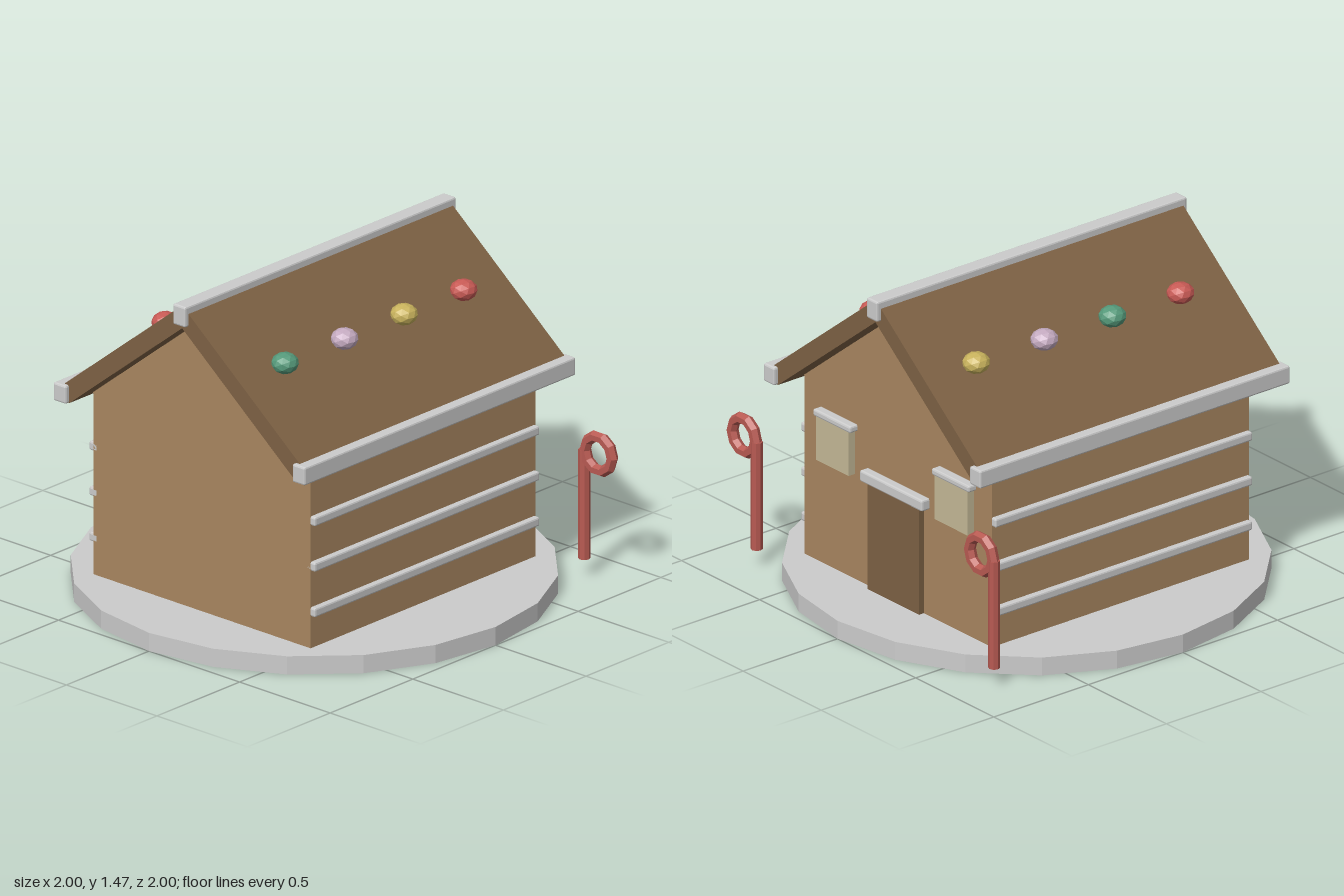
import * as THREE from 'three';
import { RoundedBoxGeometry } from 'three/addons/geometries/RoundedBoxGeometry.js';

const mat = (color) => new THREE.MeshStandardMaterial({ color, flatShading: true });

export function createModel() {
  const model = new THREE.Group();
  const icing = mat(0xcccccc), wall = mat(0xa88660), roof = mat(0x7d6144);
  const doorMat = mat(0x7d6144), pane = mat(0xc4b896), caneMat = mat(0xb85a52);
  const sweets = {
    red: mat(0xc85a55), green: mat(0x55997a), pink: mat(0xc4aac0), yellow: mat(0xc8b25c),
  };

  function add(name, geometry, material, x = 0, y = 0, z = 0, parent = model) {
    const mesh = new THREE.Mesh(geometry, material);
    mesh.name = name;
    mesh.position.set(x, y, z);
    parent.add(mesh);
    return mesh;
  }
  const box = (w, h, d) => new THREE.BoxGeometry(w, h, d);
  const softBox = (w, h, d) => new RoundedBoxGeometry(w, h, d, 1, 0.008);

  // Prism along z from a cross-section in x and y
  function prism(points, depth) {
    const shape = new THREE.Shape(points.map(([x, y]) => new THREE.Vector2(x, y)));
    return new THREE.ExtrudeGeometry(shape, { depth, bevelEnabled: false }).translate(0, 0, -depth / 2);
  }

  // Base plate and house body
  add('base', new THREE.CylinderGeometry(1, 1, 0.08, 20), icing, 0, 0.04, 0);
  add('walls', box(1.2, 0.8, 1.36), wall, 0, 0.48, 0);
  add('gable', prism([[-0.6, 0.88], [0.6, 0.88], [0, 1.36]], 1.37), wall);

  // Roof slabs, eave icing and side strips, mirrored
  for (const [s, side] of [[1, 'left'], [-1, 'right']]) {
    const section = [[0, 1.36], [0.625, 0.86], [0.675, 0.92], [0, 1.46]];
    add(side + 'Roof', prism(section.map(([x, y]) => [s * x, y]), 1.6), roof);
    add(side + 'EaveIcing', softBox(0.07, 0.08, 1.64), icing, s * 0.66, 0.9, 0);
    for (const y of [0.24, 0.44, 0.64]) {
      add(side + 'WallStrip', softBox(0.05, 0.04, 1.36), icing, s * 0.6, y, 0);
    }
  }
  add('ridgeIcing', softBox(0.07, 0.09, 1.64), icing, 0, 1.42, 0);

  // Sweets on the roof, front to back
  const sweetGeometry = new THREE.IcosahedronGeometry(0.06, 1).scale(0.95, 0.75, 1);
  const rows = [[0.33, ['green', 'pink', 'yellow', 'red']], [-0.33, ['red', 'green', 'pink', 'yellow']]];
  for (const [x, colors] of rows) {
    colors.forEach((c, i) => add(c + 'Sweet', sweetGeometry, sweets[c], x, 1.22, 0.54 - 0.36 * i));
  }

  // Door and windows on the back wall
  add('door', box(0.33, 0.48, 0.05), doorMat, 0, 0.32, -0.68);
  add('doorLintel', softBox(0.4, 0.05, 0.06), icing, 0, 0.58, -0.69);
  for (const x of [0.38, -0.38]) {
    add('window', box(0.21, 0.2, 0.05), pane, x, 0.65, -0.69);
    add('windowIcing', softBox(0.24, 0.03, 0.06), icing, x, 0.76, -0.69);
  }

  // Candy canes: post with a ring on top
  for (const x of [0.76, -0.76]) {
    const cane = new THREE.Group();
    cane.name = 'candyCane';
    cane.position.set(x, 0, -0.8);
    add('canePost', new THREE.CylinderGeometry(0.025, 0.025, 0.48, 8), caneMat, 0, 0.32, 0, cane);
    add('caneRing', new THREE.TorusGeometry(0.075, 0.025, 6, 10), caneMat, 0.08, 0.56, 0, cane);
    model.add(cane);
  }
  return model;
}
